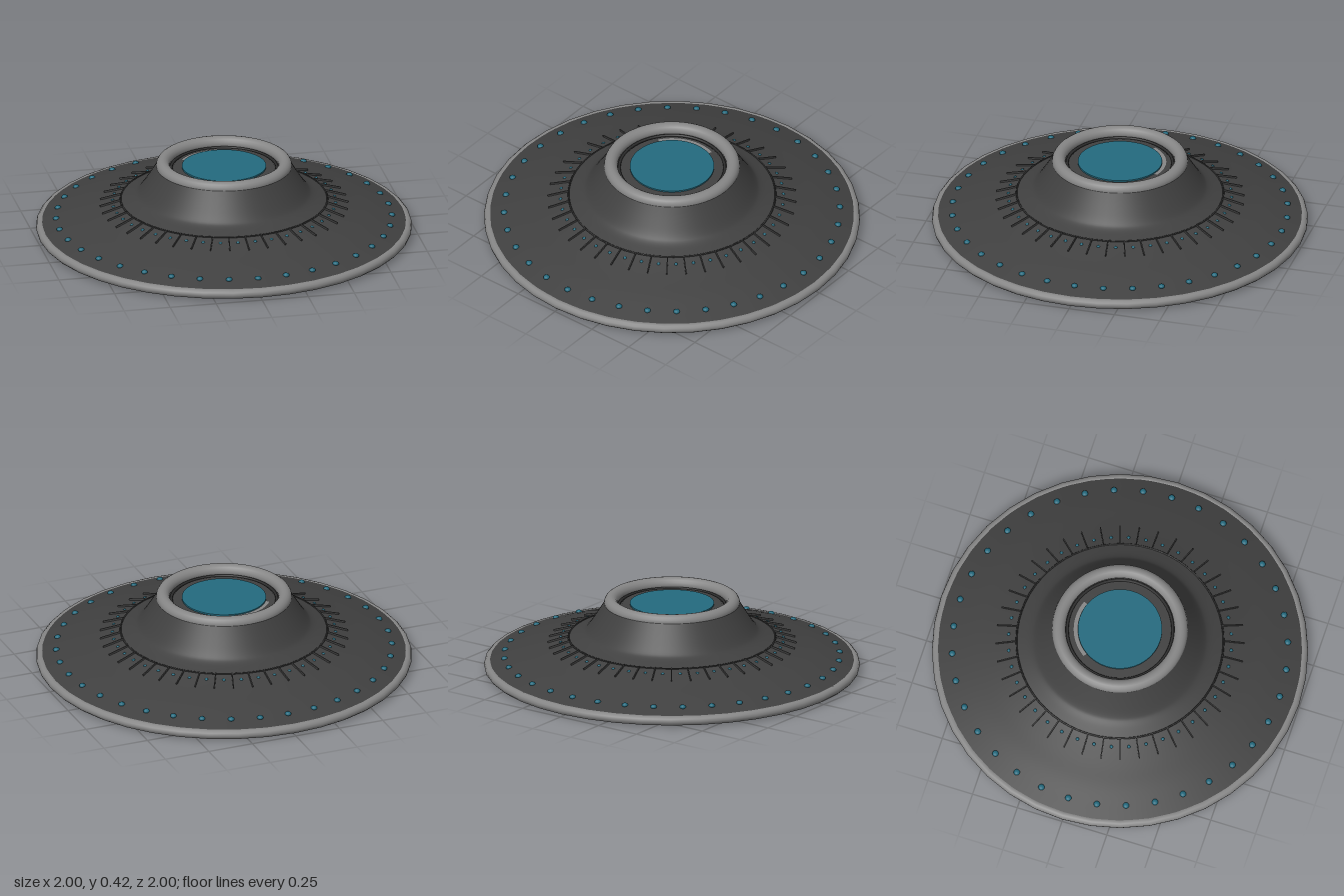
import * as THREE from 'three';

const mat = (name, color) => {
  const m = new THREE.MeshStandardMaterial({ color });
  m.name = name;
  return m;
};

export function createModel() {
  const group = new THREE.Group();
  const hullMat = mat('dark hull', 0x404040);
  const trimMat = mat('grey trim', 0x868686);
  const glowMat = mat('teal glow', 0x236a7e);
  const seamMat = mat('seam dark', 0x2b2b2b);

  const add = (name, geometry, material, parent = group) => {
    const mesh = new THREE.Mesh(geometry, material);
    mesh.name = name;
    parent.add(mesh);
    return mesh;
  };
  const lathe = (points, segments = 64) =>
    new THREE.LatheGeometry(points.map(([r, y]) => new THREE.Vector2(r, y)), segments);
  const flatRing = (radius, tube, y, sides, segments) =>
    new THREE.TorusGeometry(radius, tube, sides, segments).rotateX(Math.PI / 2).translate(0, y, 0);

  // Places copies of a part around the vertical axis
  const around = (name, count, offset, place) => {
    const ringGroup = new THREE.Group();
    ringGroup.name = name + 's';
    for (let i = 0; i < count; i++) {
      const pivot = new THREE.Group();
      pivot.rotation.y = ((i + offset) / count) * Math.PI * 2;
      pivot.name = name;
      place(pivot);
      ringGroup.add(pivot);
    }
    group.add(ringGroup);
  };

  // Saucer skin sweeping up into the central tower
  const sweep = new THREE.SplineCurve([
    [0.968, 0.058], [0.9, 0.08], [0.8, 0.112], [0.7, 0.14], [0.6, 0.17],
    [0.53, 0.193], [0.475, 0.215], [0.445, 0.242], [0.4, 0.31], [0.356, 0.382],
  ].map(([r, y]) => new THREE.Vector2(r, y))).getPoints(36);
  add('hull', new THREE.LatheGeometry(sweep, 64), hullMat);
  add('underside', lathe([[0, 0.009], [0.972, 0.009]], 48), hullMat);

  // Outer rim and tower lip
  add('rim', flatRing(0.974, 0.026, 0.034, 12, 40), trimMat);
  add('towerLip', flatRing(0.325, 0.036, 0.38, 16, 64), trimMat);

  // Shallow well inside the lip with the glowing window
  add('well', lathe([[0.31, 0.372], [0.275, 0.36], [0.265, 0.37], [0, 0.37]].reverse().map(([r, y]) => [r, y]).reverse()), hullMat);
  add('wellSeam', flatRing(0.281, 0.008, 0.366, 8, 64), seamMat);
  add('window', new THREE.CylinderGeometry(0.224, 0.224, 0.008, 64).translate(0, 0.374, 0), glowMat);
  add('windowTrim', new THREE.RingGeometry(0.226, 0.246, 32, 1, 1.2, 1.35)
    .rotateX(-Math.PI / 2).translate(0, 0.373, 0), trimMat);

  // Seam ring at the foot of the tower
  add('towerSeam', flatRing(0.55, 0.005, 0.186, 6, 64), seamMat);

  // Radial fins and the small lamps between them
  const finGeo = new THREE.BoxGeometry(0.006, 0.016, 0.115);
  around('fin', 40, 0, (pivot) => {
    const fin = add('finBlade', finGeo, hullMat, pivot);
    fin.position.set(0, 0.17, 0.605);
    fin.rotation.x = 0.3;
  });
  const lampGeo = new THREE.SphereGeometry(0.01, 10, 6);
  around('finLamp', 40, 0.5, (pivot) => {
    add('finLampBulb', lampGeo, glowMat, pivot).position.set(0, 0.168, 0.592);
  });

  // Lamps along the outer edge
  const bulbGeo = new THREE.SphereGeometry(0.017, 14, 10).scale(1, 0.7, 1);
  around('rimLamp', 36, 0, (pivot) => {
    add('rimLampBulb', bulbGeo, glowMat, pivot).position.set(0, 0.084, 0.892);
  });

  // Glowing ring on the belly
  add('bellyRing', flatRing(0.388, 0.014, 0, 10, 64).scale(1, 0.6, 1).translate(0, 0.0085, 0), glowMat);

  return group;
}
